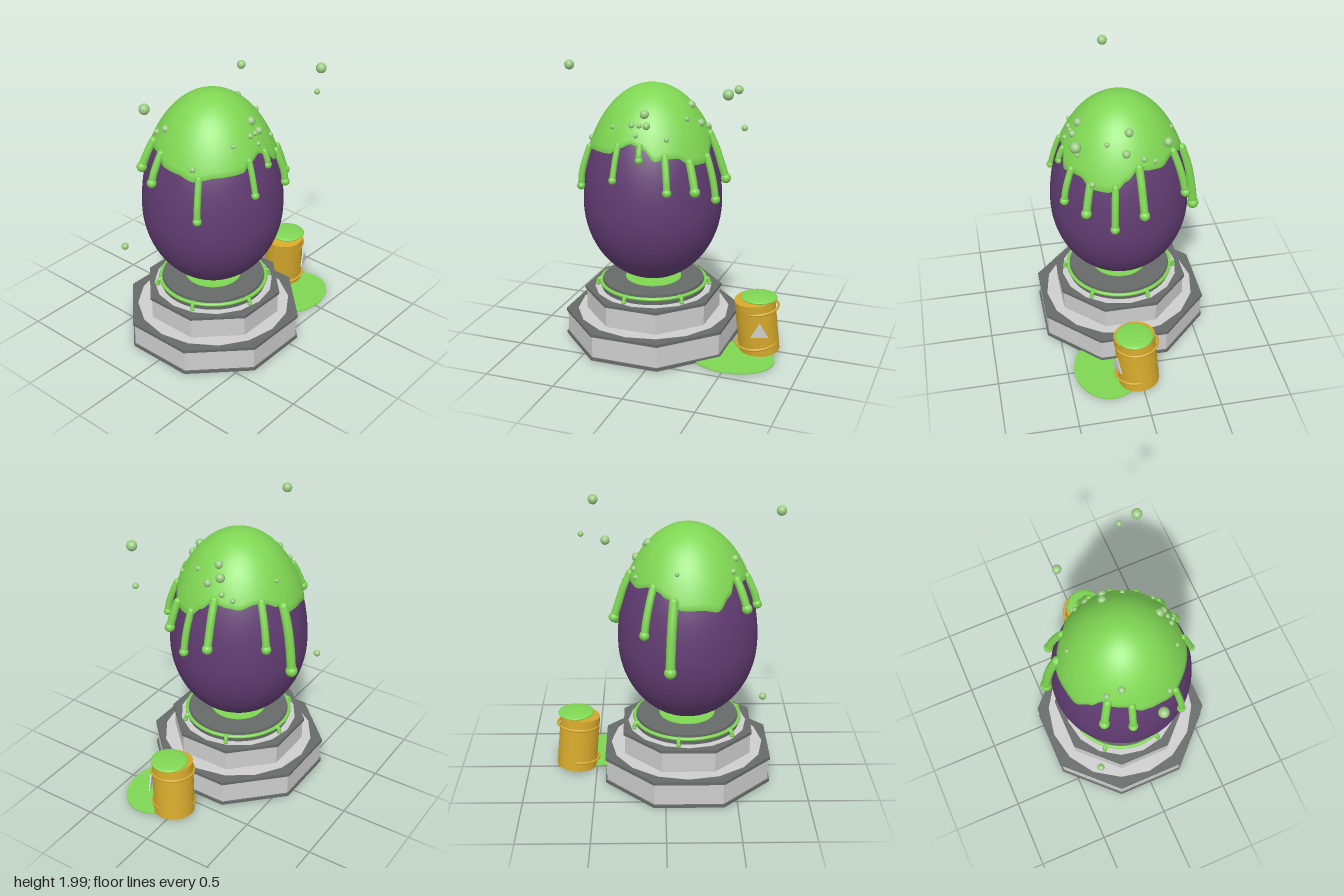
import * as THREE from 'three';

const mat = (name, color, side = THREE.FrontSide) => {
  const m = new THREE.MeshStandardMaterial({ color, side });
  m.name = name;
  return m;
};

export function createModel() {
  const root = new THREE.Group();
  root.name = 'slimedEgg';
  const slime = mat('slime green', 0x7fd653, THREE.DoubleSide);
  const shell = mat('shell purple', 0x613c72);
  const stone = mat('light grey', 0xcdcdcd);
  const metal = mat('dark grey', 0x666a68);
  const yellow = mat('barrel yellow', 0xd6a92c);
  const foam = mat('bubble green', 0x9acb82);

  const CX = -0.16; // pedestal and egg axis
  const add = (name, geo, m, x = 0, y = 0, z = 0, parent = root) => {
    const mesh = new THREE.Mesh(geo, m);
    mesh.name = name;
    mesh.position.set(x, y, z);
    parent.add(mesh);
    return mesh;
  };

  // Pedestal: two octagonal tiers with dark rims
  const pedestal = new THREE.Group();
  pedestal.name = 'pedestal';
  pedestal.position.x = CX;
  root.add(pedestal);
  const octagon = (apothem, h) => {
    const g = new THREE.CylinderGeometry(apothem / Math.cos(Math.PI / 8), apothem / Math.cos(Math.PI / 8), h, 8);
    g.rotateY(Math.PI / 8);
    const flat = g.toNonIndexed();
    flat.computeVertexNormals();
    return flat;
  };
  const disc = (r, h, n = 48) => new THREE.CylinderGeometry(r, r, h, n);
  const rim = (apothem, y) => add('tierRim', octagon(apothem, 0.022), metal, 0, y, 0, pedestal);
  add('lowerTier', octagon(0.577, 0.18), stone, 0, 0.115, 0, pedestal);
  rim(0.588, 0.027);
  rim(0.588, 0.207);
  add('lowerTierTop', disc(0.55, 0.006, 16), stone, 0, 0.217, 0, pedestal);
  add('underside', disc(0.56, 0.006, 16), stone, 0, 0.015, 0, pedestal);
  add('upperTier', octagon(0.447, 0.18), stone, 0, 0.29, 0, pedestal);
  rim(0.457, 0.382);
  add('upperTierTop', disc(0.425, 0.006, 16), stone, 0, 0.392, 0, pedestal);

  // Drum under the egg with a slime ring and small drips
  add('drum', disc(0.375, 0.06), metal, 0, 0.415, 0, pedestal);
  add('drumCap', disc(0.362, 0.025), metal, 0, 0.449, 0, pedestal);
  const ringGeo = new THREE.TorusGeometry(0.378, 0.013, 10, 64);
  ringGeo.rotateX(Math.PI / 2);
  add('slimeRing', ringGeo, slime, 0, 0.438, 0, pedestal);
  add('slimeSeat', disc(0.2, 0.006), slime, 0, 0.464, 0, pedestal);
  const ringDrip = new THREE.TubeGeometry(new THREE.CatmullRomCurve3([
    new THREE.Vector3(0, 0.44, 0.37), new THREE.Vector3(0, 0.436, 0.395), new THREE.Vector3(0, 0.405, 0.405),
  ]), 8, 0.015, 8);
  for (let i = 0; i < 6; i++) {
    const a = (-10 + 60 * i) * Math.PI / 180;
    add('ringDrip', ringDrip, slime, 0, 0, 0, pedestal).rotation.y = a;
    add('ringDripTip', new THREE.SphereGeometry(0.017, 10, 8), slime, 0.405 * Math.sin(a), 0.405, 0.405 * Math.cos(a), pedestal);
  }

  // Egg: half ellipses of different height meeting at the widest point
  const MID = 1.05, R = 0.489, UP = 0.827, DOWN = 0.575;
  const profile = [];
  for (let i = 0; i <= 48; i++) {
    const t = Math.PI * (1 - i / 48), c = Math.cos(t);
    profile.push(new THREE.Vector2(Math.max(R * Math.sin(t), 0), MID + c * (c > 0 ? UP : DOWN)));
  }
  add('egg', new THREE.LatheGeometry(profile, 64), shell, CX);
  const eggRadius = (y) => R * Math.sqrt(Math.max(0, 1 - ((y - MID) / (y > MID ? UP : DOWN)) ** 2));

  // Slime cap: wavy lower edge given as [degrees from front, height]
  const edge = [[0, 1.55], [12, 1.52], [23, 1.445], [31, 1.46], [43, 1.46], [56, 1.4], [70, 1.395], [78, 1.415],
    [86, 1.47], [97, 1.53], [112, 1.51], [122, 1.5], [138, 1.53], [148, 1.52], [160, 1.485], [172, 1.42],
    [190, 1.42], [204, 1.4], [218, 1.48], [228, 1.55], [238, 1.53], [252, 1.53], [265, 1.47], [280, 1.46],
    [295, 1.43], [314, 1.46], [328, 1.465], [338, 1.47], [347, 1.515], [360, 1.55]];
  const edgeY = (phi) => {
    const d = ((phi * 180 / Math.PI) % 360 + 360) % 360;
    let i = 0;
    while (i < edge.length - 2 && edge[i + 1][0] < d) i++;
    const k = (d - edge[i][0]) / (edge[i + 1][0] - edge[i][0]);
    return THREE.MathUtils.lerp(edge[i][1], edge[i + 1][1], k * k * (3 - 2 * k));
  };
  const COLS = 144, ROWS = 20, pos = [], idx = [];
  for (let j = 0; j <= ROWS + 1; j++) {
    for (let i = 0; i <= COLS; i++) {
      const phi = i / COLS * Math.PI * 2;
      const end = Math.acos((edgeY(phi) - MID) / UP);
      const t = end * Math.min(j / ROWS, 1);
      const off = j > ROWS ? -0.005 : 0.013; // last row tucks into the shell
      const r = (R + off) * Math.sin(t);
      pos.push(r * Math.sin(phi), MID + (UP + Math.min(off, 0.008)) * Math.cos(t), r * Math.cos(phi));
      if (j <= ROWS && i < COLS) {
        const a = j * (COLS + 1) + i, b = a + COLS + 1;
        idx.push(a, b, a + 1, b, b + 1, a + 1);
      }
    }
  }
  const cap = new THREE.BufferGeometry();
  cap.setAttribute('position', new THREE.Float32BufferAttribute(pos, 3));
  cap.setIndex(idx);
  cap.computeVertexNormals();
  add('slimeCap', cap, slime, CX);

  // Drips: tip position and tip radius
  const drips = [[-0.27, 1.31, 0.465, 0.027], [-0.095, 1.455, 0.425, 0.027], [0.1, 1.25, 0.425, 0.031],
    [0.253, 1.235, 0.3, 0.036], [0.342, 1.14, 0.122, 0.032], [0.352, 1.235, -0.078, 0.036],
    [0.14, 1.235, -0.409, 0.034], [-0.03, 1.01, -0.512, 0.042], [-0.545, 1.375, -0.29, 0.036],
    [-0.628, 1.345, -0.12, 0.033], [-0.598, 1.178, 0.25, 0.03]];
  for (const [x, y, z, r] of drips) {
    const phi = Math.atan2(x - CX, z), tipR = Math.hypot(x - CX, z), top = edgeY(phi) + 0.02;
    const points = [0, 0.33, 0.66, 1].map((k) => {
      const py = THREE.MathUtils.lerp(top, y, k);
      const pr = k === 1 ? tipR : eggRadius(py) + 0.012 + 0.02 * k * (tipR > eggRadius(y) + 0.02);
      return new THREE.Vector3(CX + pr * Math.sin(phi), py, pr * Math.cos(phi));
    });
    add('drip', new THREE.TubeGeometry(new THREE.CatmullRomCurve3(points), 16, r * 0.76, 12), slime);
    add('dripTop', new THREE.SphereGeometry(r * 0.76, 12, 8), slime, points[0].x, points[0].y, points[0].z);
    add('dripTip', new THREE.SphereGeometry(r, 16, 12), slime, x, y, z);
  }

  // Bubbles stuck on the cap: x, z, radius
  const stuck = [[-0.107, 0.286, 0.031], [-0.177, 0.34, 0.02], [-0.125, 0.338, 0.018], [-0.077, 0.33, 0.026],
    [-0.135, 0.375, 0.017], [-0.32, 0.32, 0.015], [0.06, 0.32, 0.017], [-0.545, 0.17, 0.02], [0.115, -0.017, 0.03],
    [0.197, 0.017, 0.028], [0.21, -0.1, 0.021], [0.197, -0.178, 0.018], [0.137, 0.134, 0.018],
    [-0.466, -0.135, 0.026], [-0.45, -0.23, 0.021], [-0.076, -0.347, 0.015]];
  for (const [x, z, r] of stuck) {
    const d = Math.hypot(x - CX, z) / (R + 0.013);
    add('capBubble', new THREE.SphereGeometry(r, 14, 10), foam, x, MID + UP * Math.sqrt(1 - d * d) + 0.008, z);
  }

  // Floating bubbles: x, y, z, radius
  for (const [x, y, z, r] of [[-0.783, 1.967, -0.003, 0.035], [0.503, 1.937, 0.395, 0.036],
    [0.394, 1.833, -0.212, 0.031], [0.59, 1.71, 0.31, 0.021], [-0.663, 0.767, -0.372, 0.025]]) {
    add('floatingBubble', new THREE.SphereGeometry(r, 16, 12), foam, x, y, z);
  }

  // Leaning barrel with hoops, slime lid and warning plate
  const BX = 0.633, BZ = 0.03;
  const lean = (mesh) => mesh.rotation.set(0.075, 0, 0.088);
  lean(add('barrel', disc(0.144, 0.395, 32), yellow, BX, 0.222, BZ));
  for (const y of [0.09, 0.355]) {
    const hoop = new THREE.TorusGeometry(0.148, 0.009, 8, 40);
    hoop.rotateX(Math.PI / 2);
    lean(add('barrelHoop', hoop, yellow, BX, y, BZ));
  }
  const lid = new THREE.SphereGeometry(0.13, 32, 16);
  lid.scale(1, 0.16, 1);
  add('slimeLid', lid, slime, 0.647, 0.436, 0.05);
  const tri = new THREE.Shape([new THREE.Vector2(-0.06, -0.05), new THREE.Vector2(0.06, -0.05), new THREE.Vector2(0, 0.055)]);
  const plate = new THREE.ExtrudeGeometry(tri, { depth: 0.009, bevelEnabled: false });
  add('warningPlate', plate, stone, 0.69, 0.238, 0.175).rotation.y = 0.35;

  // Spilled slime
  const puddle = disc(1, 0.008, 48);
  puddle.scale(0.295, 1, 0.235);
  add('puddle', puddle, slime, 0.515, 0.022, 0.22);
  return root;
}
